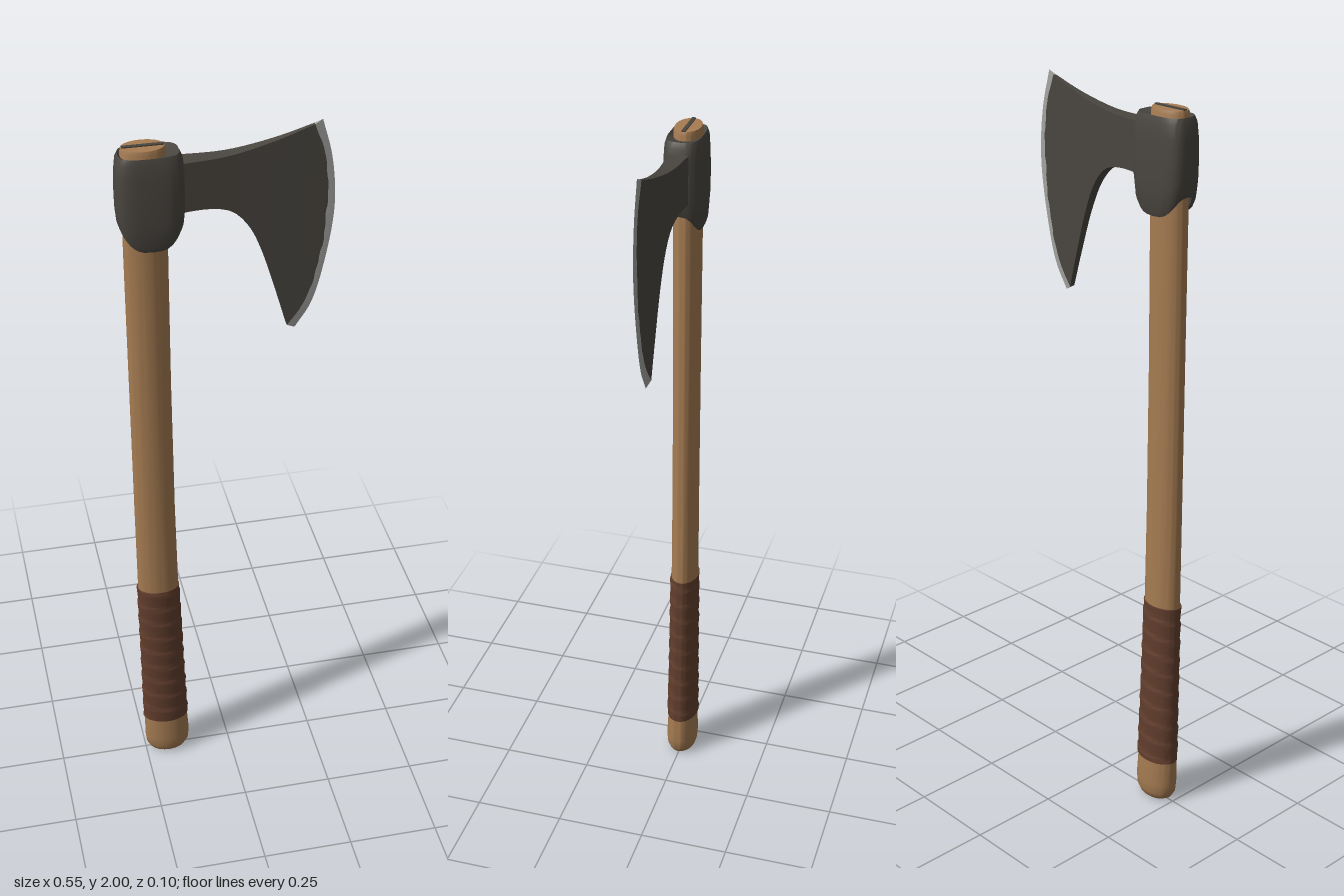
import * as THREE from 'three';
import { toCreasedNormals } from 'three/addons/utils/BufferGeometryUtils.js';

const mat = (name, color) => {
  const m = new THREE.MeshStandardMaterial({ color });
  m.name = name;
  return m;
};

// Skin closed rings of [x, y, z] points, with optional flat ends
function loft(rings, crease = 0.7, caps = true) {
  const n = rings[0].length, pos = rings.flat(2), idx = [];
  for (let i = 0; i < rings.length - 1; i++) {
    for (let j = 0; j < n; j++) {
      const a = i * n + j, b = i * n + (j + 1) % n;
      idx.push(a, b, b + n, a, b + n, a + n);
    }
  }
  if (caps) {
    [0, rings.length - 1].forEach((r, end) => {
      const c = [0, 1, 2].map(k => rings[r].reduce((s, p) => s + p[k], 0) / n);
      const ci = pos.length / 3;
      pos.push(...c);
      for (let j = 0; j < n; j++) {
        const a = r * n + j, b = r * n + (j + 1) % n;
        if (end) idx.push(ci, a, b); else idx.push(ci, b, a);
      }
    });
  }
  const g = new THREE.BufferGeometry();
  g.setAttribute('position', new THREE.Float32BufferAttribute(pos, 3));
  g.setIndex(idx);
  return toCreasedNormals(g, crease);
}

// Horizontal superellipse ring; e = 2 is an ellipse, higher is boxier
function ring(y, x0, x1, hz, e = 2, n = 40) {
  const pts = [], pw = v => Math.sign(v) * Math.abs(v) ** (2 / e);
  for (let j = 0; j < n; j++) {
    const a = j / n * Math.PI * 2;
    pts.push([(x0 + x1) / 2 + (x1 - x0) / 2 * pw(Math.cos(a)),
      typeof y === 'function' ? y(pw(Math.cos(a))) : y, -hz * pw(Math.sin(a))]);
  }
  return pts;
}

const spline = pts => new THREE.CatmullRomCurve3(pts.map(p => new THREE.Vector3(p[0], p[1], 0)));

// Handle outline: height, left x, right x, half depth
const HANDLE = [
  [0, -0.225, -0.145, 0.028], [0.008, -0.237, -0.132, 0.037], [0.025, -0.247, -0.122, 0.043],
  [0.055, -0.25, -0.119, 0.045], [0.13, -0.25, -0.124, 0.042], [0.35, -0.252, -0.133, 0.039],
  [0.62, -0.256, -0.142, 0.037], [0.9, -0.258, -0.147, 0.036], [1.3, -0.26, -0.15, 0.036],
  [1.7, -0.262, -0.15, 0.037], [1.965, -0.262, -0.15, 0.037], [1.975, -0.259, -0.153, 0.034],
];

function handleAt(y) {
  let i = 0;
  while (i < HANDLE.length - 2 && HANDLE[i + 1][0] < y) i++;
  const a = HANDLE[i], b = HANDLE[i + 1], t = (y - a[0]) / (b[0] - a[0]);
  return a.map((v, k) => v + (b[k] - v) * t);
}

// Leather wrap with a spiral of overlapping turns
function wrapGeometry() {
  const rings = [], rows = 110, y0 = 0.13, y1 = 0.622, pitch = 0.055;
  for (let i = 0; i <= rows; i++) {
    const y = y0 + (y1 - y0) * i / rows, h = handleAt(y);
    const base = ring(y, h[1], h[2], h[3]);
    const cx = (h[1] + h[2]) / 2;
    rings.push(base.map((p, j) => {
      const f = (((y / pitch + j / base.length) % 1) + 1) % 1;
      const lift = 0.0015 + 0.0035 * Math.min(f, (1 - f) * 6);
      const d = Math.hypot(p[0] - cx, p[2]);
      return [p[0] + (p[0] - cx) / d * lift, y, p[2] + p[2] / d * lift];
    }));
  }
  return loft(rings, 0.9);
}

// Socket with side lugs that dip lower than its front and back ends
function socketGeometry() {
  const low = (lo, hi) => c => lo + (hi - lo) * Math.abs(c) ** 3;
  return loft([
    ring(1.80, -0.262, -0.15, 0.037),
    ring(low(1.715, 1.768), -0.264, -0.124, 0.039, 3),
    ring(low(1.71, 1.763), -0.269, -0.117, 0.044, 3.2),
    ring(low(1.722, 1.778), -0.274, -0.111, 0.048, 3.2),
    ring(low(1.78, 1.81), -0.277, -0.108, 0.051, 3.4),
    ring(1.85, -0.278, -0.108, 0.052, 3.4),
    ring(1.91, -0.277, -0.108, 0.05, 3.4),
    ring(1.945, -0.273, -0.112, 0.048, 3.4),
    ring(1.96, -0.267, -0.119, 0.044, 3.2),
    ring(1.952, -0.26, -0.15, 0.036),
  ], 0.6, false);
}

// Blade: a tapering neck that flares into a bearded cutting edge
const TOP = spline([[-0.13, 1.93], [0, 1.935], [0.12, 1.96], [0.215, 1.99]]);
const BEARD = spline([[-0.13, 1.8], [-0.045, 1.8], [0.008, 1.785], [0.05, 1.74],
  [0.087, 1.66], [0.125, 1.54], [0.155, 1.436]]);
const INNER = spline([[0.155, 1.436], [0.195, 1.49], [0.232, 1.6], [0.252, 1.765],
  [0.245, 1.9], [0.215, 1.99]]);
const OUTER = spline([[0.177, 1.423], [0.218, 1.49], [0.25, 1.606], [0.272, 1.765],
  [0.262, 1.897], [0.235, 2]]);
const ROWS = 36;

const thickness = x => 0.003 + 0.023 * Math.max(0, (0.25 - x) / 0.36) ** 1.2;

// Slightly uneven line where the ground edge begins
function innerEdge(v) {
  const p = INNER.getPointAt(v);
  p.x += 0.003 * Math.sin(v * 47) * Math.sin(v * 19) * Math.sin(v * Math.PI);
  return p;
}

// Closed loop down the front face and up the back face
function bladeRing(point, half) {
  const front = [], back = [];
  for (let k = 0; k <= ROWS; k++) {
    const p = point(k / ROWS), t = half(p.x);
    front.unshift([p.x, p.y, t]);
    back.push([p.x, p.y, -t]);
  }
  return [...front, ...back];
}

function bladeGeometry() {
  const rings = [], cols = 24;
  const b1 = BEARD.getPointAt(1), t1 = TOP.getPointAt(1);
  for (let i = 0; i <= cols; i++) {
    const u = i / cols, b = BEARD.getPointAt(u), t = TOP.getPointAt(u);
    rings.push(bladeRing(v => {
      const bulge = innerEdge(v).sub(b1.clone().lerp(t1, v)).multiplyScalar(u * u);
      return b.clone().lerp(t, v).add(bulge);
    }, thickness));
  }
  return loft(rings, 0.6);
}

function edgeGeometry() {
  return loft([
    bladeRing(innerEdge, thickness),
    bladeRing(v => OUTER.getPointAt(v), () => 0.0004),
  ], 0.6);
}

export function createModel() {
  const wood = mat('wood', 0xa67c52);
  const leather = mat('leather', 0x633f2e);
  const iron = mat('dark iron', 0x4a4640);
  const steel = mat('ground steel', 0xa3a3a0);

  const model = new THREE.Group();
  model.name = 'axe';
  const add = (name, geometry, material) => {
    const mesh = new THREE.Mesh(geometry, material);
    mesh.name = name;
    model.add(mesh);
    return mesh;
  };

  add('handle', loft(HANDLE.map(h => ring(...h))), wood);
  add('gripWrap', wrapGeometry(), leather);
  add('socket', socketGeometry(), iron);
  add('blade', bladeGeometry(), iron);
  add('cuttingEdge', edgeGeometry(), steel);

  // Wedge driven into the top of the handle
  add('wedge', new THREE.BoxGeometry(0.102, 0.03, 0.01), iron).position.set(-0.206, 1.963, 0);
  return model;
}
